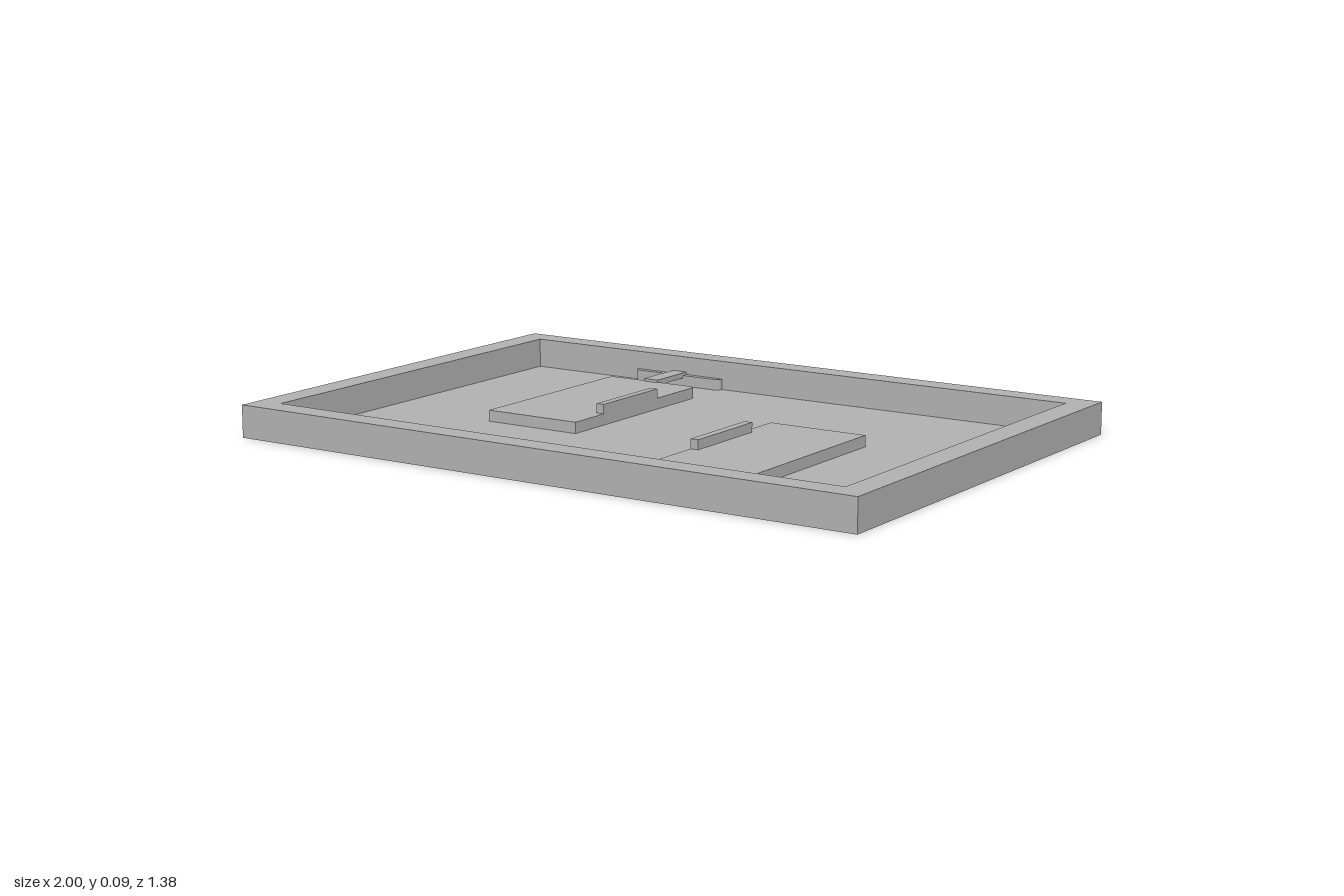
import * as THREE from 'three';

const FLOOR = 0.007;

// Vertical extrusion of a plan shape (shape y points to -z)
function slab(shape, y0, y1) {
  const g = new THREE.ExtrudeGeometry(shape, { depth: y1 - y0, bevelEnabled: false, curveSegments: 6 });
  g.rotateX(-Math.PI / 2);
  g.translate(0, y0, 0);
  return g;
}

function rect(target, x0, x1, y0, y1) {
  target.moveTo(x0, y0);
  target.lineTo(x1, y0);
  target.lineTo(x1, y1);
  target.lineTo(x0, y1);
  target.closePath();
  return target;
}

// Rectangle with its two corners at y1 rounded
function roundedEnd(x0, x1, y0, y1, r) {
  const d = Math.sign(y1 - y0) * r;
  const s = new THREE.Shape();
  s.moveTo(x0, y0);
  s.lineTo(x1, y0);
  s.lineTo(x1, y1 - d);
  s.quadraticCurveTo(x1, y1, x1 - r, y1);
  s.lineTo(x0 + r, y1);
  s.quadraticCurveTo(x0, y1, x0, y1 - d);
  s.closePath();
  return s;
}

function box(x0, x1, y0, y1, z0, z1) {
  const g = new THREE.BoxGeometry(x1 - x0, y1 - y0, z1 - z0);
  g.translate((x0 + x1) / 2, (y0 + y1) / 2, (z0 + z1) / 2);
  return g;
}

export function createModel() {
  const grey = new THREE.MeshStandardMaterial({ color: 0xb0b0b0 });
  grey.name = 'plainGrey';

  const model = new THREE.Group();
  model.name = 'trayWithFlaps';
  const add = (parent, name, geometry) => {
    const mesh = new THREE.Mesh(geometry, grey);
    mesh.name = name;
    parent.add(mesh);
  };

  // Tray: a tall rim around a thin floor
  const rim = rect(new THREE.Shape(), -1, 1, -0.692, 0.692);
  rim.holes.push(rect(new THREE.Path(), -0.922, 0.922, -0.617, 0.617));
  add(model, 'rim', slab(rim, 0, 0.095));
  add(model, 'floor', box(-0.922, 0.922, 0, FLOOR, -0.617, 0.617));

  // Two identical flaps, the second turned half way round
  for (const [side, turn] of [['right', 0], ['left', Math.PI]]) {
    const flap = new THREE.Group();
    flap.name = side + 'Flap';
    flap.rotation.y = turn;
    add(flap, 'panel', slab(roundedEnd(-0.539, -0.231, -0.152, 0.466, 0.02), FLOOR, 0.04));
    add(flap, 'wallPlate', slab(roundedEnd(-0.539, -0.231, 0.617, 0.598, 0.015), FLOOR, 0.04));
    add(flap, 'hingeStrap', box(-0.412, -0.362, 0.032, 0.048, -0.617, -0.458));
    add(flap, 'handle', box(-0.256, -0.231, 0.04, 0.068, -0.262, 0.013));
    model.add(flap);
  }
  return model;
}
